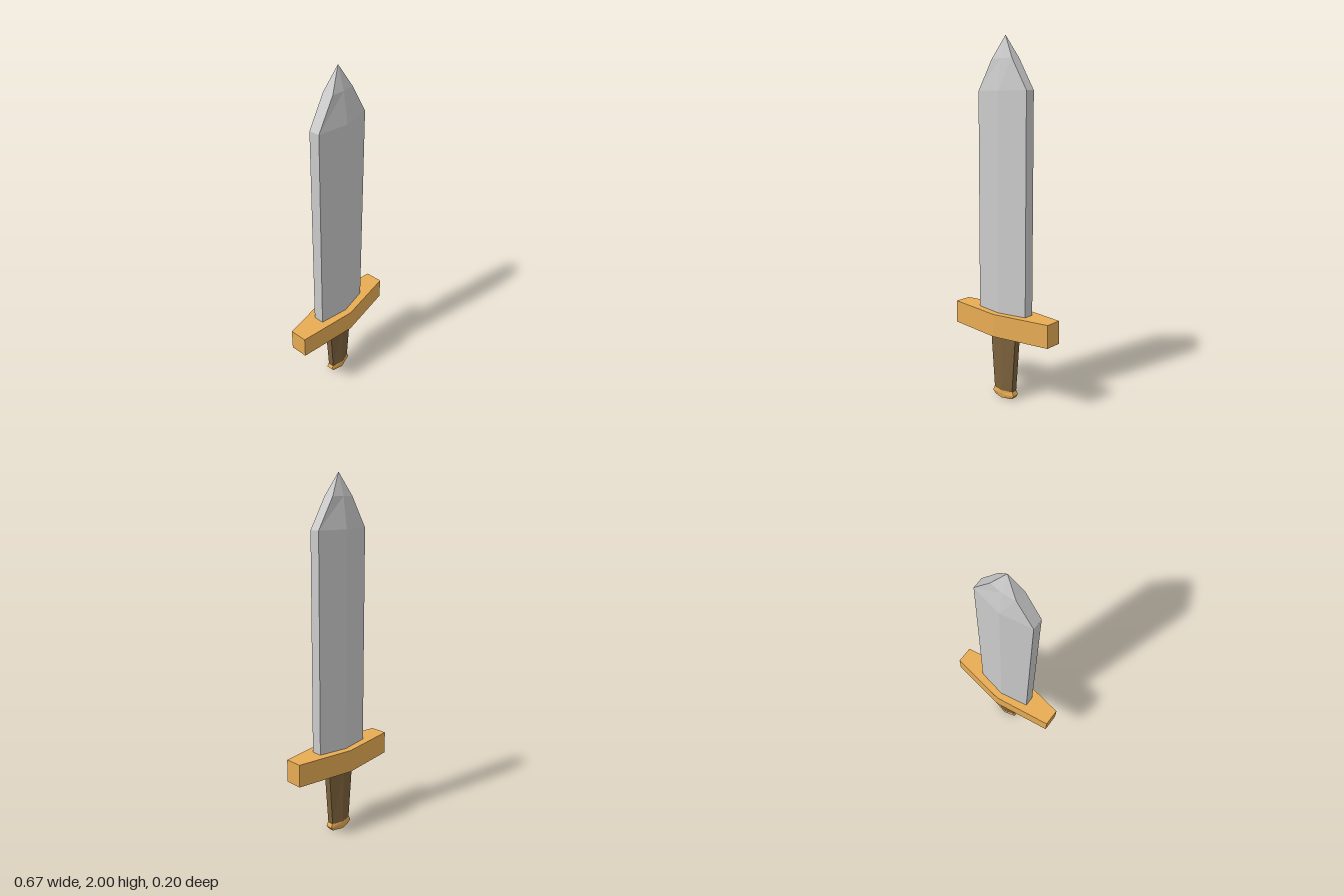
import * as THREE from 'three';

// Six-sided section: half width w, half depth e at the edges, half depth m at the ridge
function section([y, w, e, m]) {
  return [[-w, y, e], [0, y, m], [w, y, e], [w, y, -e], [0, y, -m], [-w, y, -e]];
}

// Skin a stack of sections (bottom to top) and cap both ends
function loft(name, color, levels) {
  const rings = levels.map(section);
  const n = 6;
  const pos = [];
  const tri = (a, b, c) => pos.push(...a, ...b, ...c);
  for (let k = 0; k < rings.length - 1; k++) {
    const lo = rings[k], hi = rings[k + 1];
    const pointed = levels[k + 1][1] === 0;
    for (let i = 0; i < n; i++) {
      const j = (i + 1) % n;
      tri(lo[i], lo[j], hi[j]);
      if (!pointed) tri(lo[i], hi[j], hi[i]);
    }
  }
  const bottom = rings[0], top = rings[rings.length - 1];
  for (let i = 1; i < n - 1; i++) {
    tri(bottom[0], bottom[i + 1], bottom[i]);
    if (levels[levels.length - 1][1] > 0) tri(top[0], top[i], top[i + 1]);
  }
  const geometry = new THREE.BufferGeometry();
  geometry.setAttribute('position', new THREE.Float32BufferAttribute(pos, 3));
  geometry.computeVertexNormals();
  const mesh = new THREE.Mesh(geometry, new THREE.MeshStandardMaterial({ color, flatShading: true }));
  mesh.name = name;
  return mesh;
}

export function createModel() {
  const group = new THREE.Group();
  group.name = 'shortSword';
  const gold = 0xe8ac54, leather = 0x7c623c, steel = 0xcccccc;

  // Levels are [y, half width, edge half depth, ridge half depth]
  group.add(
    loft('pommel', gold, [
      [0, 0.06, 0.016, 0.034],
      [0.022, 0.077, 0.02, 0.038],
      [0.045, 0.067, 0.018, 0.038],
    ]),
    loft('grip', leather, [
      [0.045, 0.065, 0.018, 0.038],
      [0.38, 0.09, 0.02, 0.04],
    ]),
    loft('crossguard', gold, [
      [0.38, 0.337, 0.05, 0.1],
      [0.508, 0.337, 0.05, 0.1],
    ]),
    // Straight blade, tapering shoulder, then the point
    loft('blade', steel, [
      [0.508, 0.168, 0.03, 0.061],
      [1.715, 0.168, 0.03, 0.061],
      [1.88, 0.07, 0.03, 0.037],
      [2, 0, 0, 0],
    ]),
  );
  return group;
}
